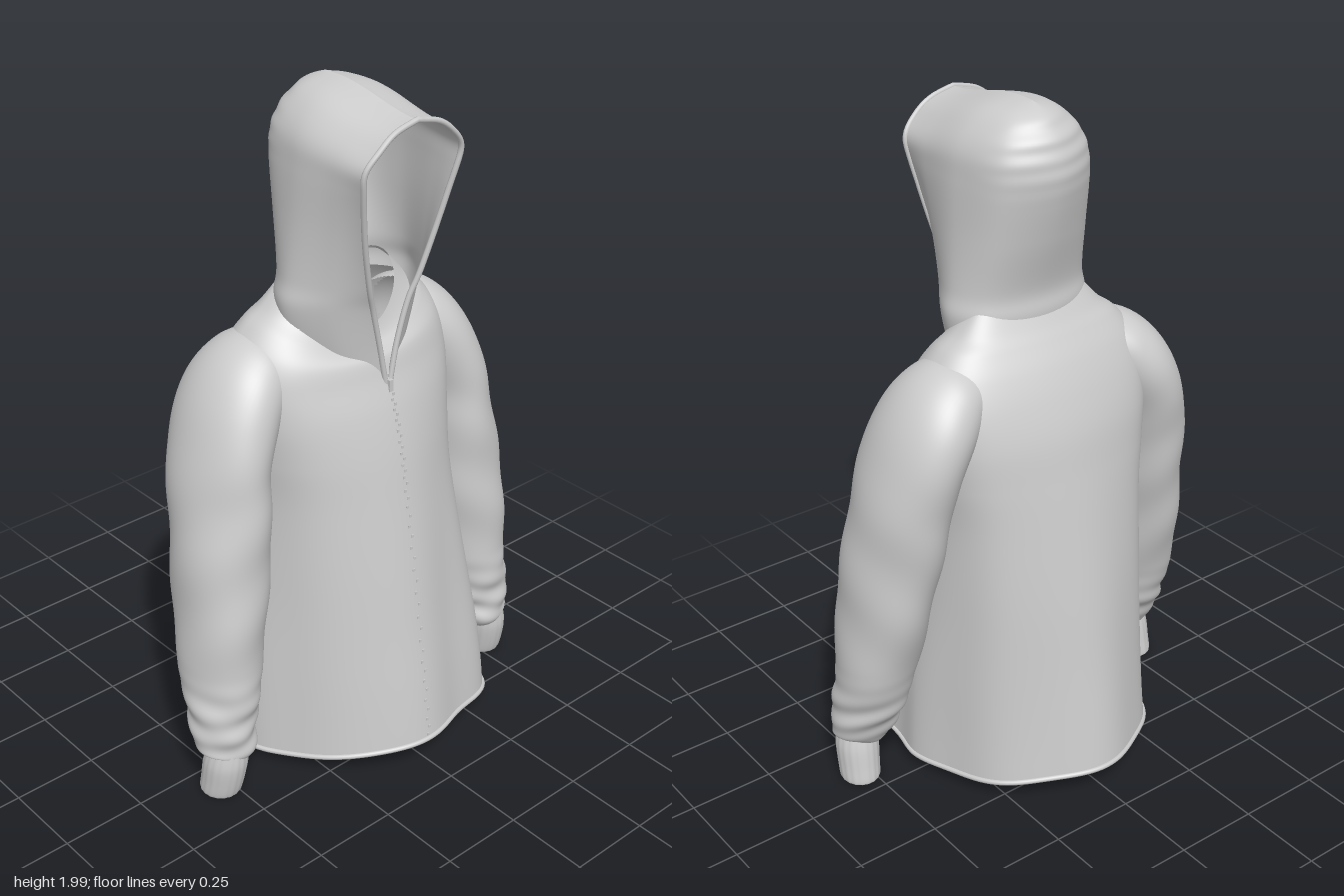
import * as THREE from 'three';

const fabric = new THREE.MeshStandardMaterial({ color: 0xcccccc, side: THREE.DoubleSide });
const { smoothstep, lerp, clamp } = THREE.MathUtils;
const V = (x, y, z) => new THREE.Vector3(x, y, z);
const bump = (a, centre, width) => Math.exp(-(((a - centre) / width) ** 2));

// Smooth interpolation through rows of numbers, t from 0 to 1
function sample(rows, t) {
  const f = t * (rows.length - 1);
  const i = Math.min(Math.floor(f), rows.length - 2), u = f - i;
  const row = (k) => rows[clamp(k, 0, rows.length - 1)];
  return rows[0].map((_, c) => {
    const p = row(i - 1)[c], a = row(i)[c], b = row(i + 1)[c], n = row(i + 2)[c];
    return a + 0.5 * u * (b - p + u * (2 * p - 5 * a + 4 * b - n + u * (3 * (a - b) + n - p)));
  });
}

// Surface from point(u, v); u runs around, v runs along; hidden(p) cuts cells away
function surface(name, point, nu, nv, closed, hidden = () => false) {
  const pts = [], idx = [], cols = closed ? nu : nu + 1;
  for (let j = 0; j <= nv; j++) {
    for (let i = 0; i < cols; i++) pts.push(point(i / nu, j / nv));
  }
  for (let j = 0; j < nv; j++) {
    for (let i = 0; i < nu; i++) {
      const k = (i + 1) % cols;
      const a = j * cols + i, b = j * cols + k, c = a + cols, d = b + cols;
      if (!hidden(pts[a].clone().lerp(pts[d], 0.5))) idx.push(a, c, b, b, c, d);
    }
  }
  const g = new THREE.BufferGeometry().setFromPoints(pts);
  g.setIndex(idx);
  g.computeVertexNormals();
  return part(name, g);
}

function part(name, geometry) {
  const m = new THREE.Mesh(geometry, fabric);
  m.name = name;
  return m;
}

function piping(name, points, radius, closed) {
  const curve = new THREE.CatmullRomCurve3(points, closed);
  return part(name, new THREE.TubeGeometry(curve, 140, radius, 8, closed));
}

// Torso rows: height, half width, front z, back z
const TORSO = [
  [0.05, 0.378, 0.405, -0.41], [0.3, 0.364, 0.375, -0.38], [0.6, 0.342, 0.333, -0.343],
  [0.85, 0.332, 0.292, -0.305], [1.0, 0.345, 0.265, -0.28], [1.12, 0.36, 0.235, -0.258],
  [1.22, 0.362, 0.2, -0.225], [1.3, 0.335, 0.18, -0.188], [1.36, 0.288, 0.16, -0.15],
  [1.4, 0.235, 0.145, -0.122], [1.46, 0.18, 0.125, -0.085],
];
function torsoPoint(u, v) {
  const [y, w, zf, zb] = sample(TORSO, v);
  const a = Math.PI * (1.5 - 2 * u), c = Math.cos(a), s = Math.sin(a);
  const low = 1 - smoothstep(y, 0.1, 1.1);
  // Vertical drapes, with one full and one flat front corner
  const fold = 1 + (0.012 * low + 0.004) * (Math.cos(8 * a + 0.5 * Math.sin(2 * a)) - 1)
    + low * (0.15 * bump(a, 0.68, 0.32) - 0.07 * bump(a, 2.45, 0.35));
  const side = lerp(-0.03, 0.03, low);
  // Rounded across the shoulder blades, pointed at the hem
  const e = lerp(s > 0 ? 0.9 : 0.7, 1.1, low);
  const z = side + (s > 0 ? zf - side : side - zb) * Math.sign(s) * Math.abs(s) ** e * fold;
  const lift = 0.045 * s * s * (1 - smoothstep(y, 0.05, 0.5));
  // Neckline dips at the front
  const dip = 0.13 * Math.max(0, s) ** 2 * smoothstep(y, 1.22, 1.46);
  return V(w * c * fold, y + lift - dip, z);
}
function insideTorso(p) {
  const y = p.y + 0.13 * clamp(p.z / 0.18, 0, 1) ** 2 * smoothstep(p.y, 1.12, 1.4);
  if (y > 1.44) return false;
  let lo = 0, hi = 1;
  for (let i = 0; i < 16; i++) {
    const mid = (lo + hi) / 2;
    if (sample(TORSO, mid)[0] < y) lo = mid; else hi = mid;
  }
  const [, w, zf, zb] = sample(TORSO, lo);
  return (p.x / w) ** 2 + (p.z / (p.z > 0 ? zf : zb)) ** 2 < 0.78;
}

// Hood rows: height, half width, half opening, front z, back z
const HOOD = [
  [1.18, 0.14, 0.006, 0.203, -0.09], [1.3, 0.195, 0.03, 0.203, -0.095],
  [1.42, 0.222, 0.062, 0.21, -0.108], [1.5, 0.21, 0.09, 0.225, -0.105],
  [1.65, 0.196, 0.13, 0.25, -0.145], [1.8, 0.186, 0.16, 0.277, -0.178],
  [1.88, 0.174, 0.164, 0.287, -0.172], [1.94, 0.135, 0.125, 0.295, -0.145],
  [1.98, 0.08, 0.075, 0.295, -0.1], [2.0, 0, 0, 0.295, -0.05],
];
const hoodCurves = new Map();
function hoodPoint(u, v) {
  if (!hoodCurves.has(v)) {
    const [y, w, xr, zf, zb] = sample(HOOD, v);
    const half = [[xr, zf], [lerp(xr, w, 0.65), lerp(zf, 0.03, 0.4)], [w, 0.03], [w * 0.76, lerp(0.03, zb, 0.7)]];
    const pts = [...half, [0, zb], ...half.map(([x, z]) => [-x, z]).reverse()];
    hoodCurves.set(v, new THREE.CatmullRomCurve3(pts.map(([x, z]) => V(x, y, z))));
  }
  const p = hoodCurves.get(v).getPoint(u);
  const crown = smoothstep(p.y, 1.72, 2);
  // Gathered ripples at the back of the crown
  p.z += 0.003 * Math.sin(p.y * 130 + p.x * 8) * crown * (1 - smoothstep(p.z, -0.12, 0));
  p.y -= 0.045 * smoothstep(p.z, 0, 0.3) * crown;
  return p;
}

// Sleeve rows: centre x, y, z, half width, half depth
const SLEEVE = [
  [0.2, 1.265, -0.04, 0.08, 0.1], [0.285, 1.235, -0.04, 0.11, 0.145],
  [0.355, 1.155, -0.037, 0.116, 0.172], [0.41, 1.01, -0.022, 0.117, 0.176],
  [0.44, 0.8, 0.005, 0.125, 0.164], [0.463, 0.6, 0.028, 0.123, 0.15],
  [0.483, 0.42, 0.05, 0.115, 0.127], [0.503, 0.27, 0.075, 0.102, 0.102],
  [0.515, 0.17, 0.1, 0.085, 0.08], [0.52, 0.145, 0.105, 0.058, 0.062],
];
// Cuff rows, ending with the turned-in edge
const CUFF = [
  [0.518, 0.17, 0.115, 0.056, 0.06], [0.524, 0.12, 0.11, 0.062, 0.067],
  [0.528, 0.06, 0.1, 0.06, 0.066], [0.531, 0.015, 0.09, 0.057, 0.062],
  [0.531, 0.018, 0.09, 0.048, 0.053], [0.527, 0.07, 0.1, 0.046, 0.05],
];
const armhole = Array.from({ length: 30 }, (_, i) => sample(SLEEVE, i / 70));
const insideSleeve = (p) => p.y > 0.88 && armhole.some(([x, y, z, rx, rz]) =>
  ((Math.abs(p.x) - x) ** 2 + (p.y - y) ** 2) / rx ** 2 + ((p.z - z) / rz) ** 2 < 0.7);

function tubePoint(rows, wrinkle, lean) {
  return (u, v) => {
    const [x, y, z, rx, rz] = sample(rows, v);
    const a = u * Math.PI * 2, c = Math.cos(a), s = Math.sin(a);
    const [x0, y0] = sample(rows, Math.max(0, v - 0.01));
    const [x1, y1] = sample(rows, Math.min(1, v + 0.01));
    const len = Math.hypot(x1 - x0, y1 - y0) || 1;
    const tx = lean ? (x1 - x0) / len : 0, ty = lean ? (y1 - y0) / len : -1;
    const k = 1 + wrinkle(a, y);
    return V(x - ty * rx * c * k, y + tx * rx * c * k, z + rz * s * k);
  };
}
function sleeveWrinkle(a, y) {
  const arm = 1 - smoothstep(y, 0.9, 1.15);
  const bunch = 1 - smoothstep(y, 0.2, 0.45);
  return arm * (0.022 * Math.sin(3 * a + 9 * y) + 0.02 * Math.sin(a * 2 - y * 24))
    + bunch * (0.04 * Math.sin(y * 80 + 3 * Math.sin(a + 1)) + 0.035 * Math.sin(3 * a + y * 45));
}

function createSleeve(side, name) {
  const sleeve = new THREE.Group();
  sleeve.name = name;
  sleeve.add(
    surface('sleeveTube', tubePoint(SLEEVE, sleeveWrinkle, true), 64, 140, true, insideTorso),
    surface('cuff', tubePoint(CUFF, (a) => 0.012 * Math.cos(18 * a), false), 72, 30, true),
  );
  sleeve.scale.x = side;
  return sleeve;
}

// Zip teeth follow the front centre line of the torso
function createZip() {
  const zip = new THREE.Group();
  zip.name = 'zip';
  const tooth = new THREE.BoxGeometry(0.008, 0.009, 0.006);
  for (let i = 0; i < 46; i++) {
    const p = torsoPoint(0.5, 0.01 + (i / 45) * 0.58);
    const m = part('zipTooth', tooth);
    m.position.set(i % 2 ? 0.004 : -0.004, p.y, p.z - 0.001);
    zip.add(m);
  }
  const pull = part('zipPull', new THREE.BoxGeometry(0.014, 0.035, 0.01));
  pull.position.set(0, 1.185, 0.214);
  zip.add(pull);
  return zip;
}

export function createModel() {
  const model = new THREE.Group();
  model.name = 'hoodedJacket';
  model.add(surface('torso', torsoPoint, 160, 110, true, insideSleeve));
  model.add(surface('hood', hoodPoint, 80, 100, false, insideTorso));
  // Stitched edges: bottom hem and hood opening
  const ring = Array.from({ length: 64 }, (_, i) => torsoPoint(i / 64, 0));
  model.add(piping('bottomHem', ring, 0.008, true));
  const rim = [];
  for (let i = 0; i <= 30; i++) rim.push(hoodPoint(0, i / 30));
  for (let i = 29; i >= 0; i--) rim.push(hoodPoint(1, i / 30));
  model.add(piping('hoodRim', rim, 0.008, false));
  model.add(createSleeve(1, 'leftSleeve'), createSleeve(-1, 'rightSleeve'), createZip());
  return model;
}
